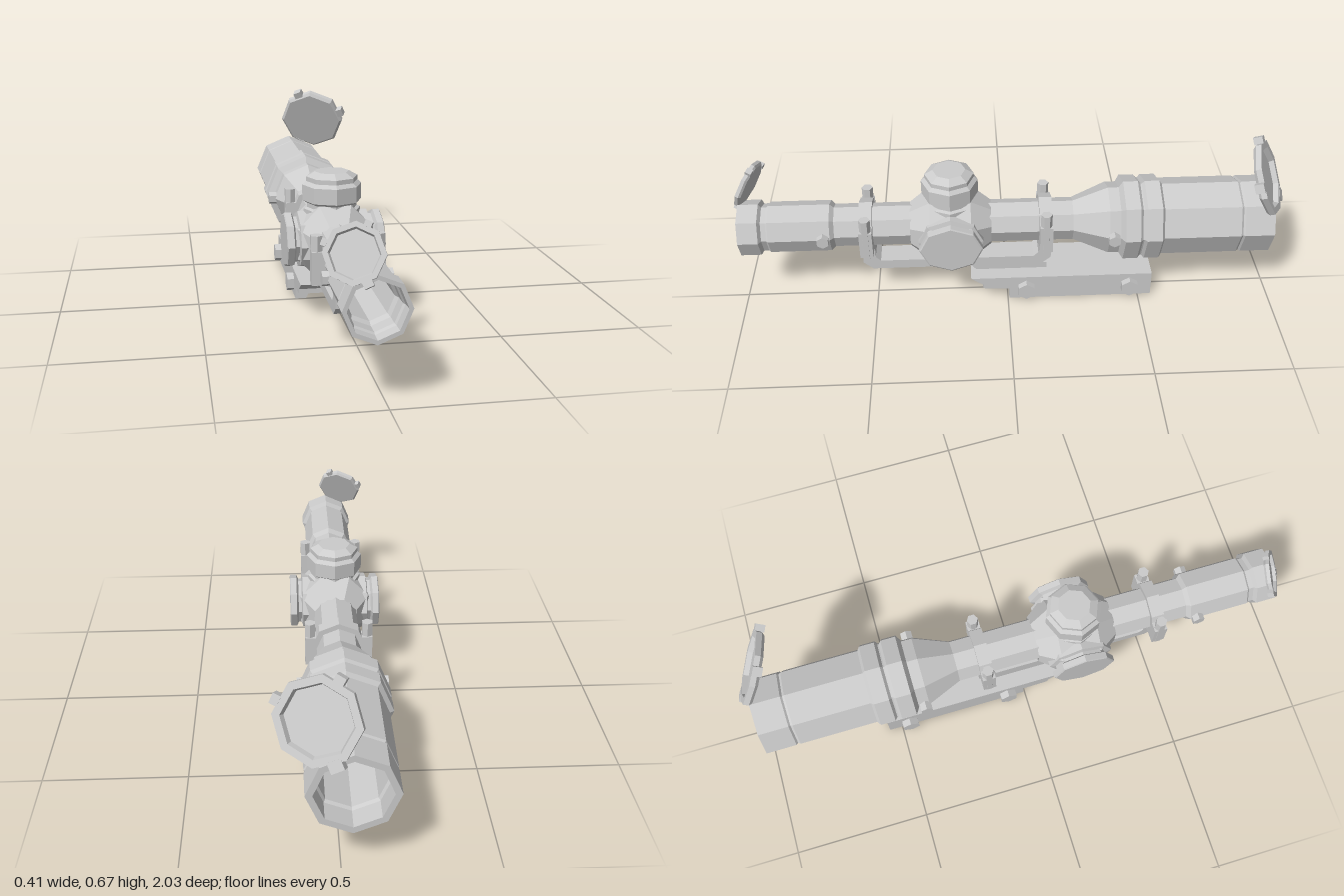
import * as THREE from 'three';

const material = new THREE.MeshStandardMaterial({ color: 0xcccccc, flatShading: true, side: THREE.DoubleSide });
const AXIS_Y = 0.3; // height of the optical axis

function add(parent, name, geometry, x = 0, y = 0, z = 0) {
  const mesh = new THREE.Mesh(geometry, material);
  mesh.name = name;
  mesh.position.set(x, y, z);
  parent.add(mesh);
  return mesh;
}

const box = (w, h, d) => new THREE.BoxGeometry(w, h, d);

// Eight-sided turned part; profile is [radius, position along axis]
function turned(profile, axis = 'z', phase = 0) {
  const g = new THREE.LatheGeometry(profile.map(p => new THREE.Vector2(p[0], p[1])), 8, phase);
  if (axis === 'z') g.rotateX(Math.PI / 2);
  if (axis === 'x') g.rotateZ(-Math.PI / 2);
  return g;
}

// Hexagonal bolt along x or y
function bolt(radius, length, axis) {
  const g = new THREE.CylinderGeometry(radius, radius, length, 6);
  if (axis === 'x') g.rotateZ(Math.PI / 2).rotateX(Math.PI / 6);
  return g;
}

function polygon(points) {
  return new THREE.Shape(points.map(p => new THREE.Vector2(p[0], p[1])));
}

// Side outline [z, y] extruded across the width
function sidePlate(points, width) {
  return new THREE.ExtrudeGeometry(polygon(points), { depth: width, bevelEnabled: false })
    .rotateY(-Math.PI / 2).translate(width / 2, 0, 0);
}

// Hinged lens cover: hollow dish opening along its normal
function flipCap(name, r, normal, position, hingeAngle) {
  const cap = new THREE.Group();
  cap.name = name;
  const t = r * 0.11;
  add(cap, 'capDish', turned([[0, -t], [0.92 * r, -t], [r, -0.3 * t], [r, t], [0.82 * r, t], [0.77 * r, -0.2 * t], [0, -0.2 * t]]));
  for (const [label, deg, size] of [['capTab', 68, 0.24], ['capTab', 162, 0.24], ['capHinge', hingeAngle, 0.32]]) {
    const a = THREE.MathUtils.degToRad(deg);
    const tab = add(cap, label, box(size * r * 0.8, size * r, 2.2 * t), Math.cos(a) * r, Math.sin(a) * r, 0);
    tab.rotation.z = a;
  }
  cap.lookAt(new THREE.Vector3(...normal));
  cap.position.set(...position);
  return cap;
}

export function createModel() {
  const model = new THREE.Group();
  model.name = 'riflescope';
  const scope = new THREE.Group();
  scope.name = 'scope';
  scope.position.x = -0.035;
  model.add(scope);

  // Hollow main tube: objective bell, straight tube, eyepiece, then the bore
  add(scope, 'mainTube', turned([
    [0.122, -0.985], [0.145, -0.985], [0.145, -0.875], [0.139, -0.868], [0.145, -0.86],
    [0.145, -0.575], [0.16, -0.565], [0.16, -0.51], [0.148, -0.5], [0.148, -0.495],
    [0.16, -0.485], [0.16, -0.43], [0.135, -0.415], [0.135, -0.375], [0.08, -0.245],
    [0.08, 0.64], [0.095, 0.655], [0.095, 0.88], [0.089, 0.887], [0.089, 0.905],
    [0.104, 0.915], [0.104, 0.99], [0.09, 0.99], [0.088, 0.95], [0.083, 0.94], [0.083, 0.89],
    [0.075, 0.87], [0.075, -0.26], [0.115, -0.4], [0.115, -0.9], [0.122, -0.91], [0.122, -0.985],
  ]), 0, AXIS_Y, 0);

  // Chamfered turret housing
  add(scope, 'turretHousing', turned([
    [0.085, -0.15], [0.142, -0.075], [0.142, 0.075], [0.085, 0.15],
  ], 'z', Math.PI / 8), 0, 0.295, 0.21);

  // Elevation turret on top
  add(scope, 'topTurret', turned([
    [0.1, 0.37], [0.1, 0.405], [0.088, 0.41], [0.088, 0.425], [0.104, 0.435], [0.104, 0.49],
    [0.09, 0.502], [0.09, 0.518], [0.06, 0.535], [0, 0.535],
  ], 'y'), 0, 0, 0.21);

  // Mirrored side turrets
  for (const s of [1, -1]) {
    const turret = add(scope, 'sideTurret', turned([
      [0.1, 0.08], [0.1, 0.122], [0.082, 0.126], [0.082, 0.138], [0.097, 0.145], [0.097, 0.167], [0.092, 0.17], [0, 0.17],
    ], 'x'), 0, 0.295, 0.21);
    turret.scale.z = 1.2;
    if (s < 0) turret.rotation.y = Math.PI;
    // Pivot screws on eyepiece and bell
    add(scope, 'eyepieceScrew', bolt(0.024, 0.04, 'x'), s * 0.092, AXIS_Y, 0.68);
    add(scope, 'bellScrew', bolt(0.024, 0.05, 'x'), s * 0.132, AXIS_Y, -0.39);
  }

  // Two clamping rings with lugs and bolts
  for (const z of [0.522, -0.142]) {
    const ring = new THREE.Group();
    ring.name = 'mountRing';
    ring.position.set(0, AXIS_Y, z);
    scope.add(ring);
    add(ring, 'ringBand', turned([[0.078, -0.024], [0.1, -0.024], [0.1, 0.024], [0.078, 0.024], [0.078, -0.024]]));
    for (const s of [1, -1]) {
      add(ring, 'ringLug', box(0.045, 0.11, 0.048), s * 0.098, -0.012, 0);
      add(ring, 'ringLugBolt', bolt(0.021, 0.165, 'y'), s * 0.103, 0.012, 0);
    }
  }

  // Cantilever arm joining the rings
  add(scope, 'mountArm', sidePlate([
    [0.546, 0.215], [0.546, 0.15], [0.51, 0.12], [-0.13, 0.12], [-0.166, 0.15], [-0.166, 0.215],
    [-0.118, 0.215], [-0.118, 0.175], [-0.1, 0.157], [0.48, 0.157], [0.498, 0.175], [0.498, 0.215],
  ], 0.09));
  add(scope, 'armRiser', sidePlate([[0.14, 0.125], [0.095, 0.07], [-0.15, 0.07], [-0.15, 0.125]], 0.09));

  // Rail clamp: wide slab and dovetail legs
  add(scope, 'clampSlab', sidePlate([
    [0.14, 0.1], [0.095, 0.07], [0.095, 0.052], [0, 0.046], [-0.55, 0.046], [-0.55, 0.1],
  ], 0.205));
  for (const s of [1, -1]) {
    const leg = new THREE.ExtrudeGeometry(
      polygon([[s * 0.1025, 0], [s * 0.1025, 0.05], [s * 0.037, 0.05], [s * 0.062, 0]]),
      { depth: 0.545, bevelEnabled: false });
    add(scope, 'clampLeg', leg, 0, 0, -0.55);
  }
  for (const z of [-0.07, -0.465]) {
    for (const s of [1, -1]) add(scope, 'clampBolt', bolt(0.035, 0.05, 'x'), s * 0.103, 0.048, z);
  }

  // Open lens covers
  model.add(flipCap('eyepieceCap', 0.092, [-0.28, 0.38, 0.88], [-0.095, 0.457, 0.95], -63));
  model.add(flipCap('objectiveCap', 0.138, [0.3, 0.38, -0.87], [0.066, 0.53, -0.93], -60));
  return model;
}
